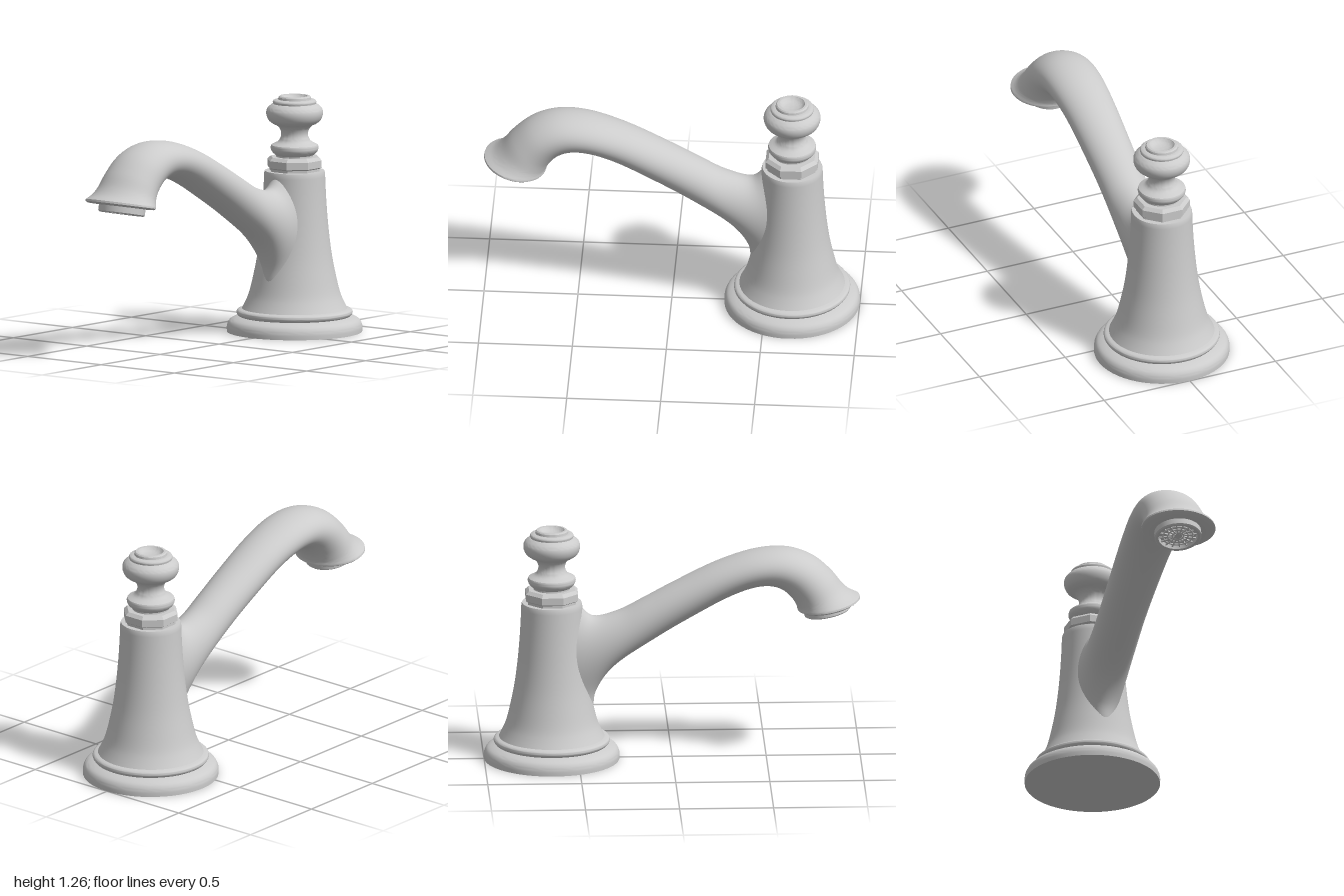
import * as THREE from 'three';
import { toCreasedNormals } from 'three/addons/utils/BufferGeometryUtils.js';

const grey = new THREE.MeshStandardMaterial({ color: 0xcccccc });
const AXIS_Z = -0.64; // centre of the pedestal and knob

function part(name, geometry, parent) {
  const m = new THREE.Mesh(geometry, grey);
  m.name = name;
  parent.add(m);
  return m;
}

const vec2 = (list) => list.map(([r, y]) => new THREE.Vector2(r, y));
const smooth = (list, n) => new THREE.SplineCurve(vec2(list)).getPoints(n);
const lathe = (points, sides = 56) =>
  toCreasedNormals(new THREE.LatheGeometry(points, sides), 0.6);

// Spout skin: elliptical sections strung between a top rail and a bottom rail
function spoutGeometry() {
  // [top z, top y, bottom z, bottom y, half width, how far the sides bow back]
  const sections = [
    [-0.50, 0.855, -0.42, 0.27, 0.12, 0.13],
    [-0.425, 0.785, -0.405, 0.37, 0.125, 0.05],
    [-0.29, 0.81, -0.32, 0.5, 0.125, 0],
    [-0.15, 0.88, -0.1, 0.655, 0.125, 0],
    [0, 0.96, 0.09, 0.77, 0.13, 0],
    [0.25, 1.08, 0.32, 0.895, 0.14, 0],
    [0.46, 1.143, 0.45, 0.94, 0.15, 0],
    [0.62, 1.147, 0.53, 0.943, 0.155, 0],
    [0.75, 1.1, 0.59, 0.92, 0.16, 0],
    [0.85, 1.015, 0.64, 0.87, 0.165, 0],
    [0.91, 0.94, 0.66, 0.835, 0.175, 0],
    [0.95, 0.905, 0.665, 0.822, 0.187, 0],
    [0.997, 0.882, 0.665, 0.815, 0.2, 0],
  ];
  const top = new THREE.CatmullRomCurve3(sections.map((s) => new THREE.Vector3(s[4], s[1], s[0])));
  const bottom = new THREE.CatmullRomCurve3(sections.map((s) => new THREE.Vector3(s[5], s[3], s[2])));
  const rows = [];
  const steps = 60;
  for (let i = 0; i <= steps; i++) {
    const t = top.getPoint(i / steps), b = bottom.getPoint(i / steps);
    rows.push([t.z, t.y, b.z, b.y, t.x, b.x]);
  }
  // rolled lip and closed underside
  rows.push([1.0, 0.872, 0.668, 0.807, 0.2, 0], [0.985, 0.861, 0.68, 0.802, 0.19, 0],
    [0.95, 0.852, 0.7, 0.804, 0.14, 0], [0.826, 0.83, 0.824, 0.83, 0.001, 0]);

  const n = 48, pos = [], index = [];
  rows.forEach(([zt, yt, zb, yb, w, bow], i) => {
    for (let j = 0; j < n; j++) {
      const a = (j / n) * Math.PI * 2, c = Math.cos(a), s = Math.sin(a);
      pos.push(w * s, (yt + yb) / 2 + ((yt - yb) / 2) * c,
        (zt + zb) / 2 + ((zt - zb) / 2) * c - bow * s * s);
      if (i === rows.length - 1) continue;
      const p = i * n + j, q = i * n + ((j + 1) % n);
      index.push(p, p + n, q, p + n, q + n, q);
    }
  });
  const g = new THREE.BufferGeometry();
  g.setAttribute('position', new THREE.Float32BufferAttribute(pos, 3));
  g.setIndex(index);
  return toCreasedNormals(g, 0.7);
}

export function createModel() {
  const model = new THREE.Group();
  model.name = 'faucet';
  const column = new THREE.Group();
  column.name = 'column';
  column.position.z = AXIS_Z;
  model.add(column);

  // Foot flange with its bead
  part('baseFlange', lathe([
    ...vec2([[0, 0], [0.36, 0]]),
    ...smooth([[0.361, 0.02], [0.358, 0.04], [0.345, 0.062], [0.32, 0.076], [0.296, 0.084]], 12),
    ...smooth([[0.3, 0.086], [0.309, 0.1], [0.304, 0.116], [0.28, 0.124]], 10),
  ]), column);

  // Flared pedestal
  part('pedestal', lathe([
    ...smooth([[0.285, 0.115], [0.262, 0.16], [0.242, 0.21], [0.222, 0.29], [0.2, 0.4], [0.184, 0.52],
      [0.173, 0.64], [0.166, 0.75], [0.162, 0.85]], 32),
    ...vec2([[0.158, 0.862], [0, 0.862]]),
  ]), column);

  // Eight-sided nut with chamfered edges
  const nut = new THREE.LatheGeometry(vec2([[0, 0.86], [0.138, 0.86], [0.138, 0.875],
    [0.15, 0.882], [0.15, 0.92], [0.132, 0.937], [0, 0.937]]), 8);
  part('nut', toCreasedNormals(nut, 0.1), column).rotation.y = Math.PI / 8;

  // Turned knob: foot, waist, ball and dished cap
  part('knob', lathe([
    ...vec2([[0, 0.93], [0.098, 0.93], [0.098, 0.945]]),
    ...smooth([[0.104, 0.948], [0.121, 0.965], [0.128, 0.985], [0.124, 1.0]], 8),
    ...smooth([[0.112, 1.006], [0.087, 1.02], [0.073, 1.045], [0.072, 1.068], [0.082, 1.092], [0.1, 1.108]], 14),
    ...smooth([[0.112, 1.112], [0.138, 1.132], [0.151, 1.165], [0.146, 1.195], [0.122, 1.218]], 14),
    ...smooth([[0.114, 1.221], [0.116, 1.232], [0.108, 1.241], [0.088, 1.244]], 8),
    ...vec2([[0.086, 1.256], [0.08, 1.262], [0.068, 1.262]]),
    ...smooth([[0.066, 1.258], [0.045, 1.242], [0, 1.235]], 8),
  ]), column);

  part('spout', spoutGeometry(), model);

  // Outlet under the spout tip
  const outlet = new THREE.Group();
  outlet.name = 'outlet';
  outlet.position.set(0, 0.803, 0.825);
  outlet.rotation.x = -0.2;
  model.add(outlet);
  part('outletSleeve', lathe(vec2([[0, 0.012], [0.1, 0.012], [0.104, -0.012], [0.118, -0.014],
    [0.125, -0.008], [0.125, 0.05]]), 40), outlet);

  // Strainer of rings and spokes
  for (const r of [0.03, 0.055, 0.08]) {
    part('strainerRing', new THREE.TorusGeometry(r, 0.005, 6, 32), outlet).rotation.x = Math.PI / 2;
  }
  for (let i = 0; i < 8; i++) {
    part('strainerSpoke', new THREE.BoxGeometry(0.2, 0.008, 0.007), outlet).rotation.y = (i * Math.PI) / 8;
  }
  return model;
}
